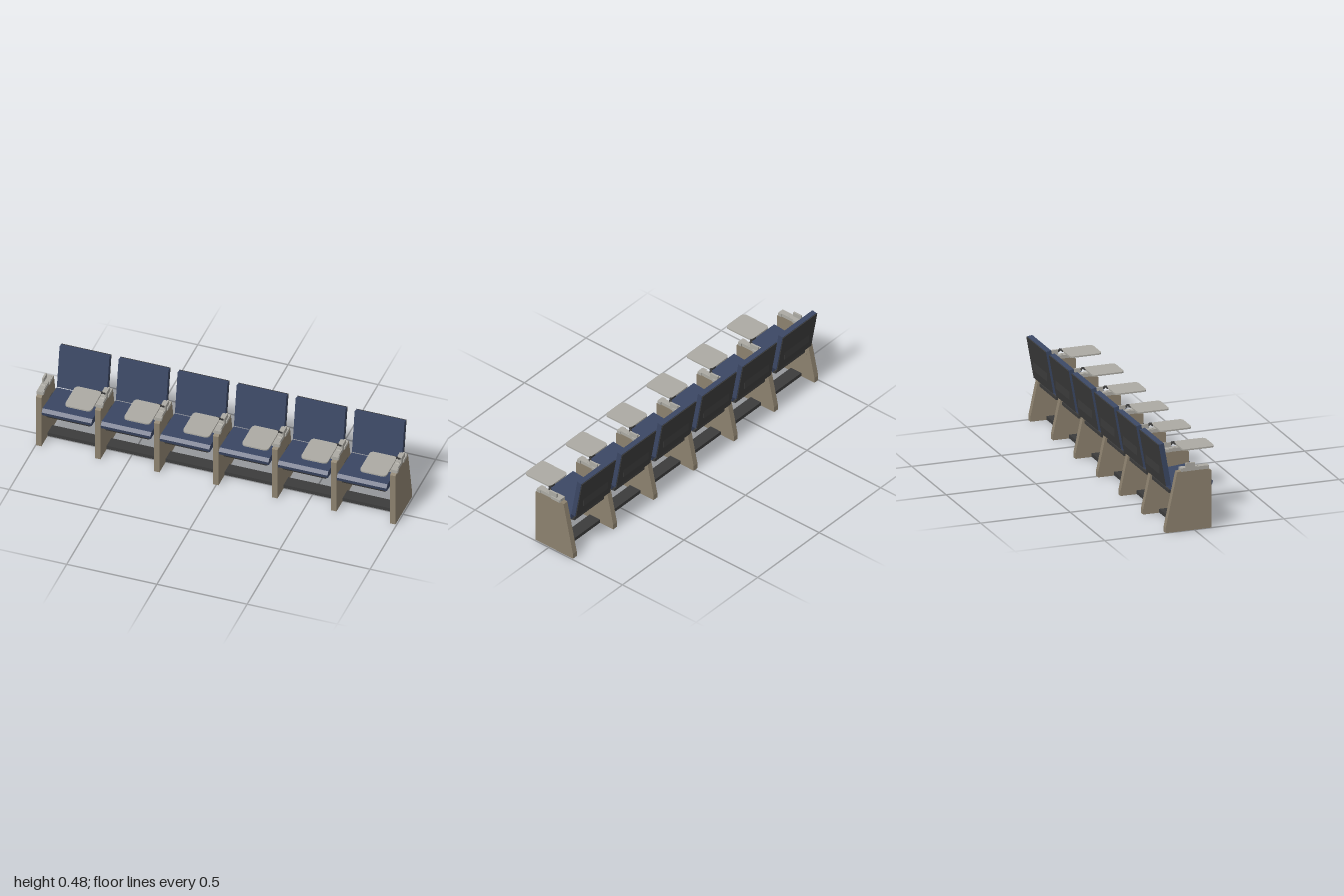
import * as THREE from 'three';

const mat = (name, color) => Object.assign(new THREE.MeshStandardMaterial({ color }), { name });
const navy = mat('navy upholstery', 0x3b4764);
const tan = mat('tan panel', 0x8c816e);
const grey = mat('light grey plastic', 0xacaaa3);
const dark = mat('dark shell', 0x3c3c3c);

const PITCH = 0.327, FIRST = -0.984, SEATS = 6;

function add(parent, name, geometry, material) {
  const mesh = new THREE.Mesh(geometry, material);
  mesh.name = name;
  parent.add(mesh);
  return mesh;
}

// Box given by its limits on each axis
function span(x0, x1, y0, y1, z0, z1) {
  return new THREE.BoxGeometry(x1 - x0, y1 - y0, z1 - z0)
    .translate((x0 + x1) / 2, (y0 + y1) / 2, (z0 + z1) / 2);
}

// Side profile of [z, y] points, extruded along x and centred on x = 0
function profile(points, width) {
  const shape = new THREE.Shape(points.map(([z, y]) => new THREE.Vector2(z, y)));
  return new THREE.ExtrudeGeometry(shape, { depth: width, bevelEnabled: false })
    .rotateY(-Math.PI / 2).translate(width / 2, 0, 0);
}

// Flat board with rounded corners, its top at y
function board(x0, x1, z0, z1, y, thick, r) {
  const s = new THREE.Shape();
  s.moveTo(x0 + r, z0);
  s.lineTo(x1 - r, z0); s.quadraticCurveTo(x1, z0, x1, z0 + r);
  s.lineTo(x1, z1 - r); s.quadraticCurveTo(x1, z1, x1 - r, z1);
  s.lineTo(x0 + r, z1); s.quadraticCurveTo(x0, z1, x0, z1 - r);
  s.lineTo(x0, z0 + r); s.quadraticCurveTo(x0, z0, x0 + r, z0);
  return new THREE.ExtrudeGeometry(s, { depth: thick, bevelEnabled: false, curveSegments: 6 })
    .rotateX(Math.PI / 2).translate(0, y, 0);
}

function makeSeat(x) {
  const seat = new THREE.Group();
  seat.name = 'seat';
  seat.position.x = x;
  // Reclined back cushion with a thin rear shell
  add(seat, 'backCushion', profile([[-0.113, 0.244], [-0.154, 0.48], [-0.181, 0.475], [-0.139, 0.244]], 0.276), navy);
  add(seat, 'backShell', profile([[-0.142, 0.244], [-0.183, 0.475], [-0.187, 0.474], [-0.146, 0.244]], 0.276), dark);
  add(seat, 'backMount', span(-0.1, 0.1, 0.3, 0.4, -0.164, -0.16).translate(0, 0, 0), dark);
  // Cushion with a nosed front edge
  add(seat, 'seatCushion', profile([[0.115, 0.222], [0.12, 0.242], [0.105, 0.26], [-0.11, 0.242], [-0.112, 0.214]], 0.276), navy);
  add(seat, 'seatPan', profile([[0.09, 0.195], [0.1, 0.221], [-0.12, 0.215], [-0.12, 0.198], [-0.06, 0.188]], 0.24), dark);
  add(seat, 'pivotBar', span(-0.15, 0.15, 0.205, 0.235, -0.07, -0.03), dark);
  return seat;
}

function makeStand(i) {
  const stand = new THREE.Group();
  stand.name = 'stand';
  const x = FIRST + i * PITCH;
  stand.position.x = x;
  add(stand, 'sidePanel', profile([[0.095, 0], [0.095, 0.316], [0.069, 0.326], [-0.074, 0.33],
    [-0.095, 0.326], [-0.159, 0.03], [-0.159, 0]], 0.031), tan);

  // Armrest, kept inside the row's ends
  const lo = Math.max(-0.022, -1 - x), hi = Math.min(0.022, 1 - x);
  add(stand, 'armrest', span(-0.016, 0.016, 0.326, 0.345, -0.074, 0.083), grey);
  add(stand, 'armrestHinge', span(lo, hi, 0.327, 0.344, -0.073, -0.016), grey);
  add(stand, 'armrestFront', span(lo, hi, 0.327, 0.344, 0.06, 0.082), grey);
  add(stand, 'armrestHump', profile([[0.03, 0.344], [0.02, 0.348], [0.003, 0.345]], 0.02), grey);

  // Upright pivot plate
  const side = i === 0 ? -1 : 1;
  add(stand, 'pivotPlate', span(-0.005, 0.005, 0.344, 0.37, -0.049, 0.003).translate(side * 0.011, 0, 0), grey);

  if (i === 0) {
    const knob = new THREE.CylinderGeometry(0.007, 0.007, 0.008, 16).rotateZ(Math.PI / 2);
    add(stand, 'knob', knob.translate(0.019, 0.165, -0.1), tan);
  } else {
    // Writing tablet and its swing arm
    add(stand, 'tablet', board(-0.152, -0.004, 0.012, 0.189, 0.379, 0.008, 0.025), grey);
    add(stand, 'tabletClip', span(-0.04, -0.002, 0.37, 0.378, 0.009, 0.02), dark);
    add(stand, 'tabletArm', profile([[0.003, 0.357], [0.003, 0.368], [0.012, 0.376], [0.012, 0.369]], 0.014)
      .translate(0.004, 0, 0), dark);
  }
  return stand;
}

export function createModel() {
  const model = new THREE.Group();
  model.name = 'seatRow';
  for (let i = 0; i <= SEATS; i++) model.add(makeStand(i));
  for (let i = 0; i < SEATS; i++) model.add(makeSeat(FIRST + (i + 0.5) * PITCH));

  // Floor rail: a channel open underneath
  add(model, 'railTop', span(-0.97, 0.965, 0.015, 0.021, -0.07, 0), dark);
  add(model, 'railFront', span(-0.97, 0.965, 0.001, 0.015, -0.022, 0), dark);
  add(model, 'railRear', span(-0.97, 0.965, 0.001, 0.015, -0.07, -0.048), dark);
  return model;
}
